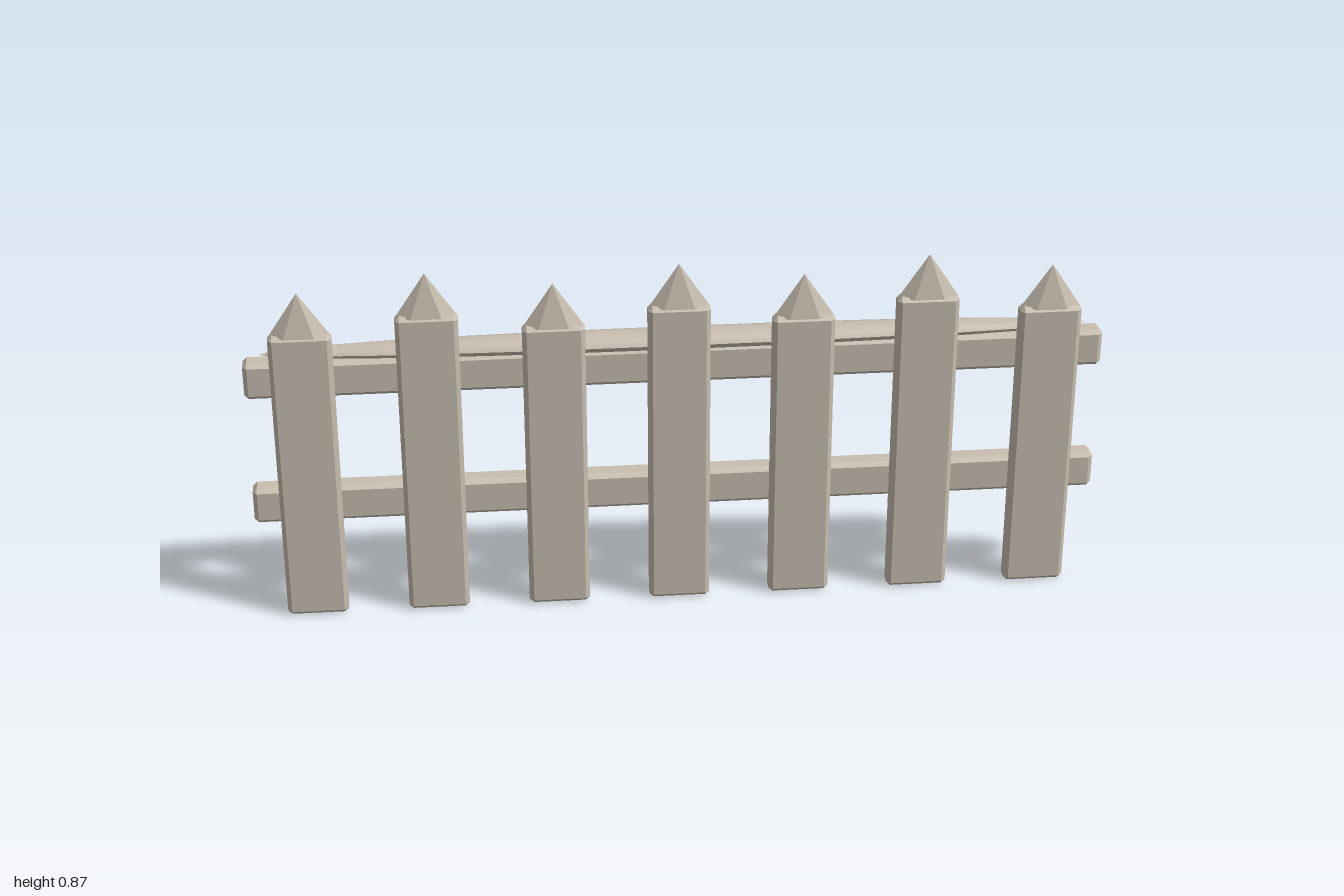
import * as THREE from 'three';
import { toCreasedNormals } from 'three/addons/utils/BufferGeometryUtils.js';
import { ConvexGeometry } from 'three/addons/geometries/ConvexGeometry.js';

// box with a single flat chamfer on every edge
function chamferBox(w, h, d, c) {
  const pts = [];
  for (const x of [-1, 1]) for (const y of [-1, 1]) for (const z of [-1, 1]) {
    for (let axis = 0; axis < 3; axis++) {
      const inset = [c, c, c];
      inset[axis] = 0;
      pts.push(new THREE.Vector3(
        x * (w / 2 - inset[0]), y * (h / 2 - inset[1]), z * (d / 2 - inset[2])));
    }
  }
  return new ConvexGeometry(pts);
}

export function createModel() {
  const model = new THREE.Group();
  model.name = 'picketFence';
  const wood = new THREE.MeshStandardMaterial({ color: 0xc8beb0 });
  wood.name = 'weathered wood';

  function add(parent, name, geometry, x, y, z) {
    const mesh = new THREE.Mesh(geometry, wood);
    mesh.name = name;
    mesh.position.set(x, y, z);
    parent.add(mesh);
    return mesh;
  }

  // pickets alternate between short and tall, each with a flattened pointed tip
  const tipGeometry = toCreasedNormals(
    new THREE.ConeGeometry(0.07, 0.105, 6).rotateY(Math.PI / 6).scale(1, 1, 0.36), 0.1);
  for (let i = 0; i < 7; i++) {
    const height = i % 2 ? 0.767 : 0.73;
    const picket = new THREE.Group();
    picket.name = 'picket';
    picket.position.set((i - 3) * 0.288, 0, 0.036);
    add(picket, 'picketBoard', chamferBox(0.144, height, 0.044, 0.01), 0, height / 2, 0);
    add(picket, 'picketTip', tipGeometry, 0, height + 0.048, 0);
    model.add(picket);
  }

  // two horizontal rails behind the pickets
  const railGeometry = chamferBox(2, 0.09, 0.055, 0.01);
  add(model, 'lowerRail', railGeometry, 0, 0.277, -0.009);
  add(model, 'upperRail', railGeometry, 0, 0.602, -0.009);

  // long tapering cap lying along the upper rail
  const profile = [[0, -0.96], [0.3, -0.93], [0.55, -0.82], [0.82, -0.62], [0.97, -0.3],
    [1, 0], [0.97, 0.3], [0.82, 0.62], [0.55, 0.82], [0.3, 0.93], [0, 0.96]]
    .map(([r, x]) => new THREE.Vector2(r, x));
  const cap = new THREE.LatheGeometry(profile, 10)
    .rotateZ(-Math.PI / 2).scale(1, 0.022, 0.044);
  add(model, 'railCap', toCreasedNormals(cap, 0.75), 0, 0.659, -0.013);

  return model;
}
